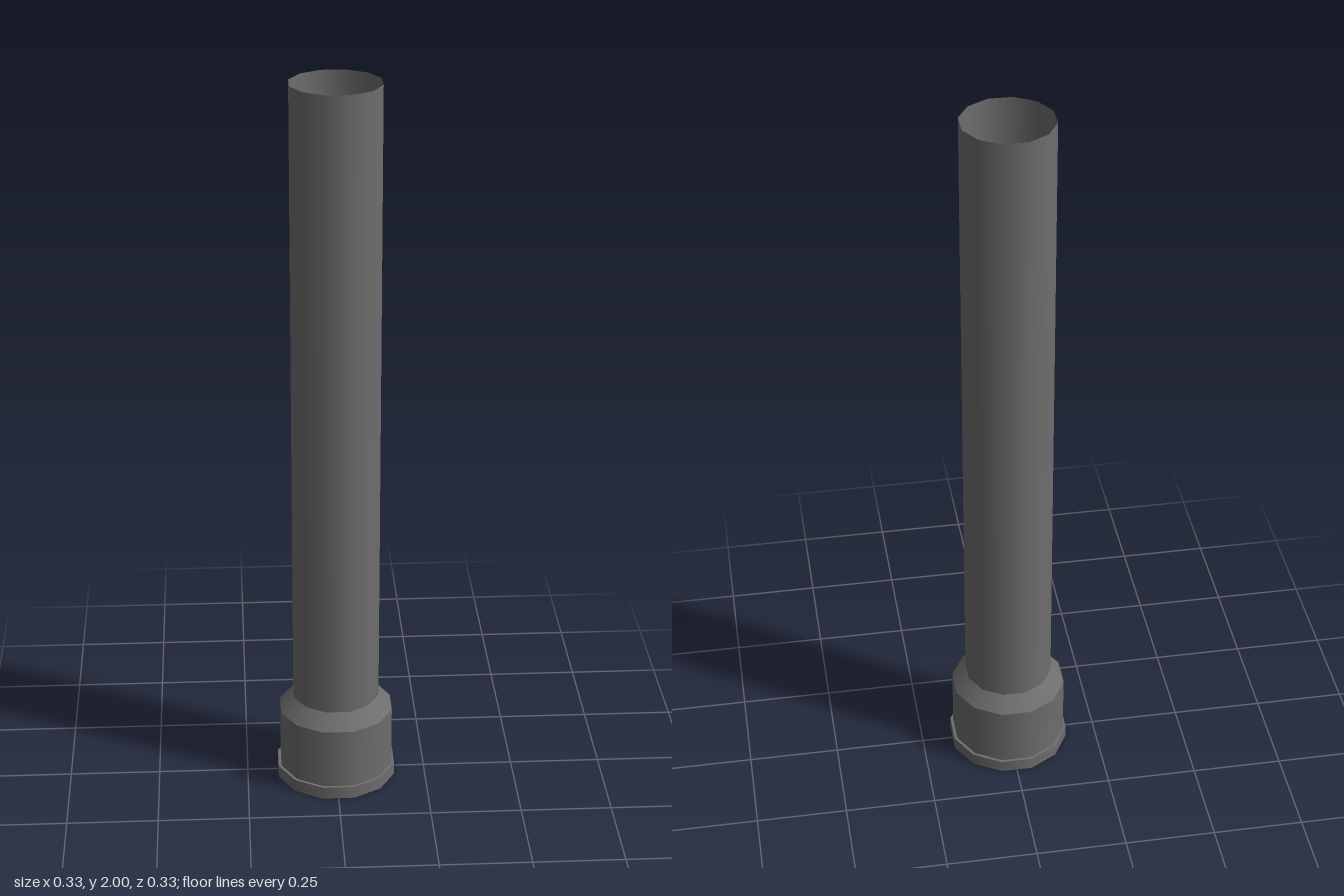
import * as THREE from 'three';

const SIDES = 12;

export function createModel() {
  const model = new THREE.Group();
  model.name = 'pipe';
  const metal = new THREE.MeshStandardMaterial({ color: 0x6e6e6e, side: THREE.DoubleSide });
  metal.name = 'grey metal';

  // Twelve-sided thin shell; each profile point is [distance to the flat, height]
  const addShell = (name, profile) => {
    const points = profile.map(([flat, y]) => new THREE.Vector2(flat / Math.cos(Math.PI / SIDES), y));
    const mesh = new THREE.Mesh(new THREE.LatheGeometry(points, SIDES, Math.PI / SIDES), metal);
    mesh.name = name;
    model.add(mesh);
  };

  // Separate shells keep the edges between them sharp
  addShell('tube', [[0.118, 0.25], [0.118, 2]]);
  addShell('shoulder', [[0.155, 0.208], [0.118, 0.25]]);
  addShell('socket', [[0.155, 0.035], [0.155, 0.208]]);
  addShell('rimLedge', [[0.163, 0.035], [0.155, 0.035]]);
  addShell('rim', [[0.163, 0], [0.163, 0.035]]);

  return model;
}
